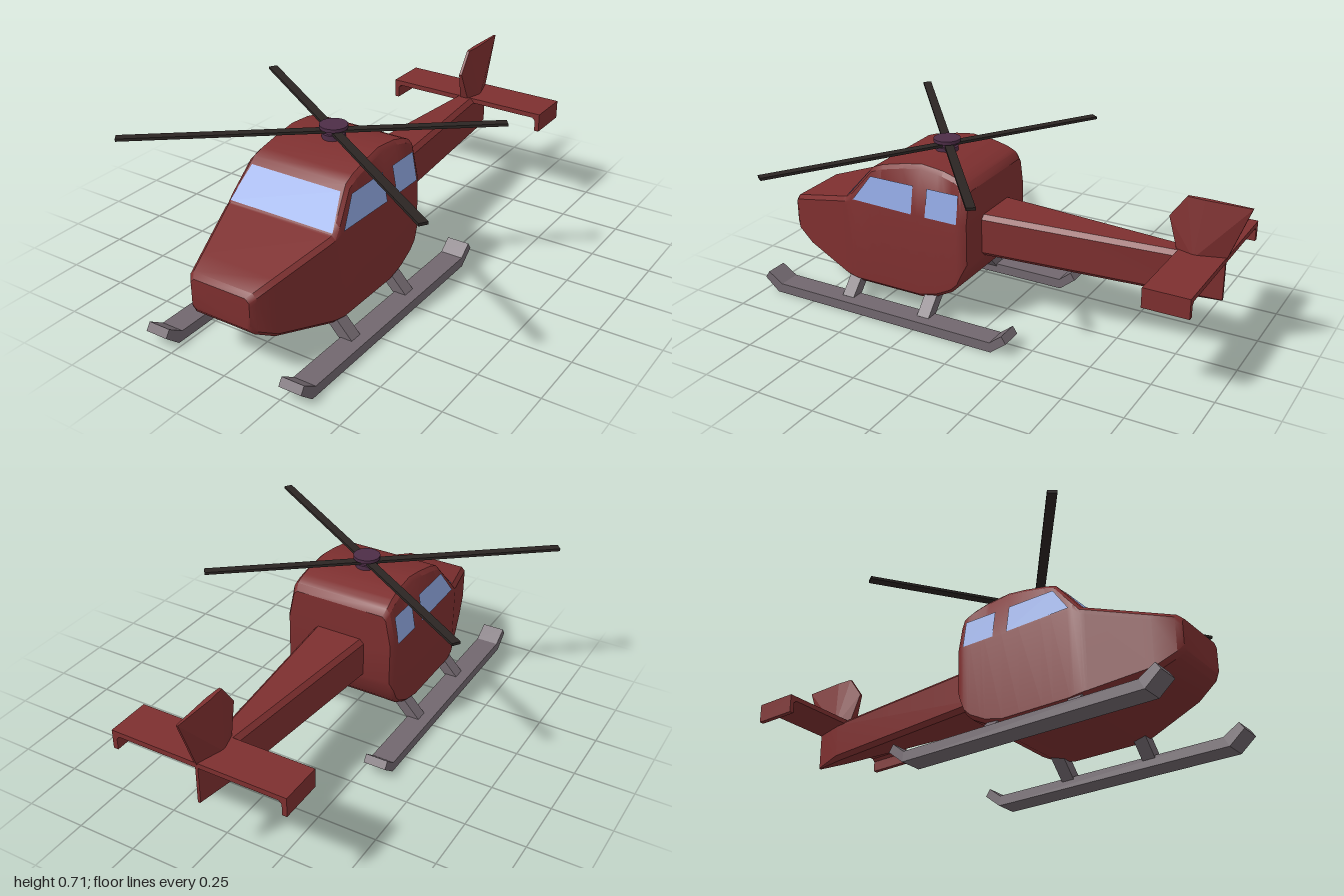
import * as THREE from 'three';
import { toCreasedNormals } from 'three/addons/utils/BufferGeometryUtils.js';
import { ConvexGeometry } from 'three/addons/geometries/ConvexGeometry.js';

const paint = (color, extra = {}) => new THREE.MeshStandardMaterial({ color, ...extra });

// Piecewise linear lookup in a list of [position, value]
function lerpTable(table, t) {
  for (let i = 1; i < table.length; i++) {
    const [a, va] = table[i - 1], [b, vb] = table[i];
    if (t <= b) return va + (vb - va) * Math.max(0, (t - a) / (b - a));
  }
  return table[table.length - 1][1];
}

// Closed skin through half sections (right half, bottom to top), back to front
function loft(sections, crease) {
  const pos = [], index = [], n = sections[0].pts.length * 2;
  for (const { z, pts } of sections) {
    for (const [x, y] of pts) pos.push(x, y, z);
    for (const [x, y] of [...pts].reverse()) pos.push(-x, y, z);
  }
  const last = (sections.length - 1) * n;
  for (let s = 0; s < last; s += n) {
    for (let j = 0; j < n; j++) {
      const k = (j + 1) % n;
      index.push(s + j, s + k, s + n + k, s + j, s + n + k, s + n + j);
    }
  }
  for (let j = 1; j < n - 1; j++) index.push(0, j + 1, j, last, last + j, last + j + 1);
  const geo = new THREE.BufferGeometry();
  geo.setAttribute('position', new THREE.Float32BufferAttribute(pos, 3));
  geo.setIndex(index);
  return toCreasedNormals(geo, crease);
}

// Flat four-cornered pane
function pane(corners) {
  const geo = new THREE.BufferGeometry();
  geo.setAttribute('position', new THREE.Float32BufferAttribute(corners.flat(), 3));
  geo.setIndex([0, 1, 2, 0, 2, 3]);
  geo.computeVertexNormals();
  return geo;
}

// Outline extruded and centred along its depth
function slab(points, depth) {
  const shape = new THREE.Shape(points.map(([x, y]) => new THREE.Vector2(x, y)));
  return new THREE.ExtrudeGeometry(shape, { depth, bevelEnabled: false }).translate(0, 0, -depth / 2);
}

export function createModel() {
  const model = new THREE.Group();
  model.name = 'helicopter';
  const craft = new THREE.Group();
  craft.name = 'airframe';
  craft.position.x = -0.012;
  model.add(craft);

  const red = paint(0x7d2f2f);
  const glass = paint(0x8fa6e0, { side: THREE.DoubleSide });
  const metal = paint(0x71676e);
  const dark = paint(0x2b2523);
  const purple = paint(0x4d2d47);
  const add = (name, geo, mat, parent = craft) => {
    const mesh = new THREE.Mesh(geo, mat);
    mesh.name = name;
    parent.add(mesh);
    return mesh;
  };

  // Cabin: roof line, belly line and half width along z
  const top = [[0.06, 0.59], [0.08, 0.617], [0.12, 0.636], [0.18, 0.652], [0.28, 0.662], [0.36, 0.65],
    [0.46, 0.628], [0.508, 0.61], [0.63, 0.465], [0.96, 0.366], [0.98, 0.35]];
  const belly = [[0.06, 0.27], [0.1, 0.18], [0.13, 0.15], [0.2, 0.113], [0.28, 0.093], [0.58, 0.093],
    [0.65, 0.104], [0.88, 0.155], [0.96, 0.2], [0.98, 0.225]];
  const width = [[0.06, 0.235], [0.08, 0.248], [0.1, 0.25], [0.6, 0.25], [0.64, 0.245], [0.96, 0.147], [0.98, 0.13]];
  const wallX = (y, w = 0.25) => w - 0.18 * Math.max(0, y - 0.46);
  const stations = [...new Set([...top, ...belly, ...width].map((p) => p[0]))].sort((a, b) => a - b);
  const r = 0.016;
  add('cabin', loft(stations.map((z) => {
    const yt = lerpTable(top, z), yb = lerpTable(belly, z), w = lerpTable(width, z);
    const wt = wallX(yt, w);
    const belt = Math.min(0.46, yt - 2 * r);
    return { z, pts: [[w - r, yb], [w, yb + r], [w, belt], [wt, yt - r], [wt - r, yt]] };
  }), 0.6), red);

  // Windscreen lying on the sloped front
  add('windscreen', pane([[-0.232, 0.472, 0.629], [0.232, 0.472, 0.629],
    [0.2, 0.588, 0.531], [-0.2, 0.588, 0.531]]), glass);

  // Side windows following the leaning walls
  const windows = {
    frontSideWindow: [[0.587, 0.468], [0.305, 0.462], [0.305, 0.578], [0.508, 0.578]],
    rearSideWindow: [[0.24, 0.462], [0.096, 0.462], [0.096, 0.578], [0.24, 0.578]],
  };
  for (const side of [1, -1]) {
    for (const [name, outline] of Object.entries(windows)) {
      const corners = outline.map(([z, y]) => [side * (wallX(y) + 0.004), y, z]);
      add(name, pane(side > 0 ? corners : corners.reverse()), glass);
    }
  }

  // Tail boom tapering to a wedge
  add('tailBoom', loft([[-0.915, 0.006], [-0.78, 0.042], [0.1, 0.119]].map(([z, w]) => {
    const c = Math.min(0.018, w * 0.5);
    return { z, pts: [[w - c, 0.275], [w, 0.275 + c], [w, 0.455 - c], [w - c, 0.455]] };
  }), 0.3), red);

  // Tail fin, thickest at its root
  const fin = [[-0.685, 0.577, 0.006], [-0.75, 0.668, 0.006], [-1, 0.668, 0.004], [-0.915, 0.44, 0.005],
    [-0.73, 0.44, 0.02], [-0.8, 0.44, 0.04], [-0.82, 0.668, 0.01]];
  add('tailFin', new ConvexGeometry(fin.flatMap(([z, y, x]) =>
    [new THREE.Vector3(x, y, z), new THREE.Vector3(-x, y, z)])), red);

  // Tailplane with drooped ends
  const half = [[0.37, 0.455], [0.37, 0.375], [0.35, 0.375], [0.35, 0.422], [0.338, 0.434]];
  const tailplane = [...half, ...[...half].reverse().map(([x, y]) => [-x, y])];
  add('tailplane', slab(tailplane, 0.183).translate(0, 0, -0.826), red);

  // Landing skids with upturned ends, and their struts
  const skid = [[1, 0.055], [0.98, 0.085], [0.914, 0.042], [-0.107, 0.042], [-0.16, 0.085],
    [-0.18, 0.055], [-0.112, 0], [0.936, 0]];
  for (const side of [1, -1]) {
    const gear = new THREE.Group();
    gear.name = side > 0 ? 'leftGear' : 'rightGear';
    craft.add(gear);
    add('skid', slab(skid, 0.096).rotateY(-Math.PI / 2).translate(side * 0.305, 0, 0), metal, gear);
    for (const z of [0.6, 0.23]) {
      const strut = add('strut', new THREE.BoxGeometry(0.045, 0.15, 0.055), metal, gear);
      strut.position.set(side * 0.24, 0.082, z);
      strut.rotation.z = side * 0.75;
    }
  }

  // Rotor: mast, hub cap and two crossed blade bars
  const rotor = new THREE.Group();
  rotor.name = 'rotor';
  craft.add(rotor);
  for (const [name, radius, low, high] of [['mast', 0.046, 0.64, 0.676],
    ['hub', 0.035, 0.67, 0.698], ['hubCap', 0.055, 0.694, 0.708]]) {
    add(name, new THREE.CylinderGeometry(radius, radius, high - low, 24), purple, rotor)
      .position.set(0, (low + high) / 2, 0.285);
  }
  for (const [x0, z0, x1, z1] of [[-0.585, -0.1, 0.652, 0.715], [0.515, -0.13, -0.635, 0.785]]) {
    const blade = add('blade', new THREE.BoxGeometry(Math.hypot(x1 - x0, z1 - z0), 0.011, 0.036), dark, rotor);
    blade.position.set((x0 + x1) / 2, 0.681, (z0 + z1) / 2);
    blade.rotation.y = -Math.atan2(z1 - z0, x1 - x0);
  }
  return model;
}
